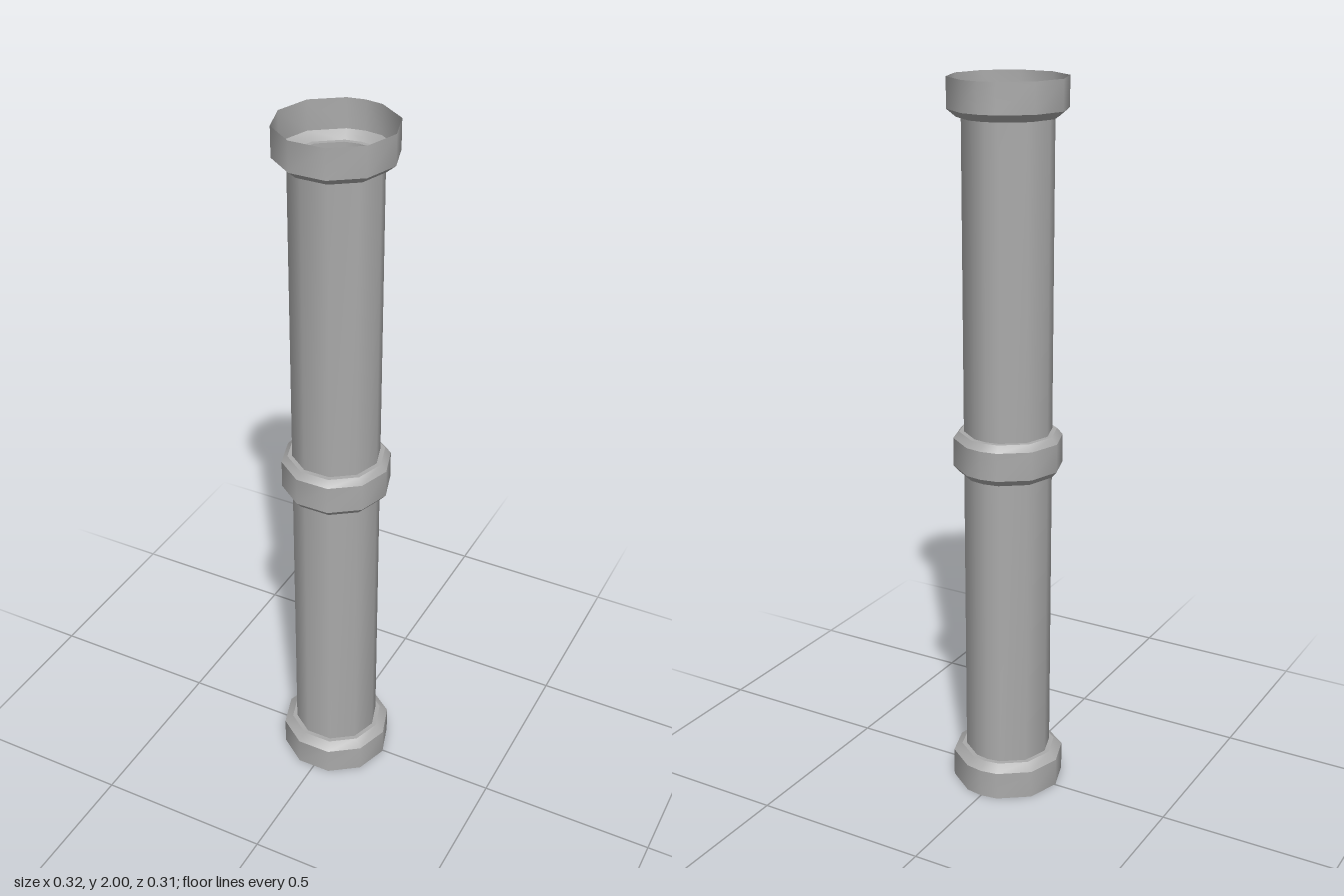
import * as THREE from 'three';

// Ten-sided section with one extra corner at the middle of the back (-z)
const ANGLES = [0, 36, 72, 108, 144, 180, 216, 252, 270, 288, 324].map(THREE.MathUtils.degToRad);
const CENTRE_Z = 0.003;

// One ring of faces between [r0, y0] and [r1, y1]; smooth around, sharp at its rims
function band([r0, y0], [r1, y1]) {
  const positions = [], index = [], n = ANGLES.length;
  for (const a of ANGLES) {
    positions.push(r0 * Math.cos(a), y0, r0 * Math.sin(a) + CENTRE_Z);
    positions.push(r1 * Math.cos(a), y1, r1 * Math.sin(a) + CENTRE_Z);
  }
  for (let i = 0; i < n; i++) {
    const a = i * 2, b = ((i + 1) % n) * 2;
    index.push(a, a + 1, b, b, a + 1, b + 1);
  }
  const geometry = new THREE.BufferGeometry();
  geometry.setAttribute('position', new THREE.Float32BufferAttribute(positions, 3));
  geometry.setIndex(index);
  geometry.computeVertexNormals();
  return geometry;
}

export function createModel() {
  const model = new THREE.Group();
  model.name = 'pipe';
  const metal = new THREE.MeshStandardMaterial({ color: 0xaaaaaa, side: THREE.DoubleSide });
  metal.name = 'grey metal';

  // Builds a part from a profile of [radius, height] points, bottom to top
  const addPart = (name, profile) => {
    const part = new THREE.Group();
    part.name = name;
    for (let i = 0; i < profile.length - 1; i++) {
      const mesh = new THREE.Mesh(band(profile[i], profile[i + 1]), metal);
      mesh.name = `${name}Band${i + 1}`;
      part.add(mesh);
    }
    model.add(part);
  };

  const R = 0.121;
  // Hollow tube, open at both ends
  addPart('tube', [[R, 0.1], [R, 1.9]]);
  // Open end sockets, mirrored top and bottom
  const socket = [[0.158, 0], [0.158, 0.08], [0.134, 0.1], [R, 0.1]];
  addPart('bottomSocket', socket);
  addPart('topSocket', socket.map(([r, y]) => [r, 2 - y]).reverse());
  // Bevelled coupling around the middle
  addPart('middleCoupling', [[R, 0.945], [0.134, 0.945], [0.15, 0.963], [0.15, 1.042], [0.134, 1.06], [R, 1.06]]);

  return model;
}
